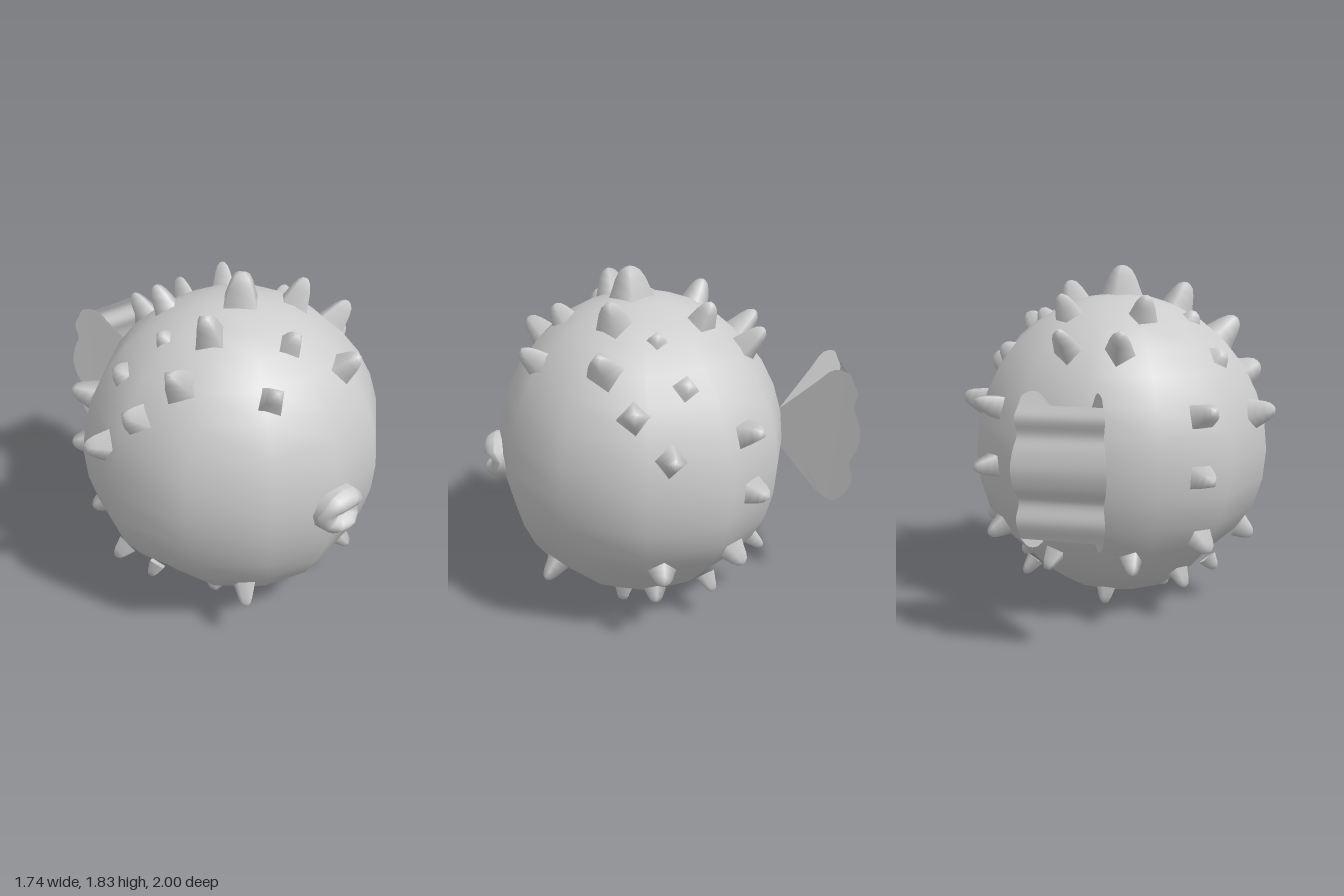
import * as THREE from 'three';
import { mergeVertices } from 'three/addons/utils/BufferGeometryUtils.js';

export function createModel() {
  const model = new THREE.Group();
  const skin = new THREE.MeshStandardMaterial({ color: 0xcccccc });
  skin.name = 'paleGreySkin';
  skin.side = THREE.DoubleSide;

  const add = (name, geometry, parent = model) => {
    const mesh = new THREE.Mesh(geometry, skin);
    mesh.name = name;
    parent.add(mesh);
    return mesh;
  };

  // Inflated round body: flat flanks, lower sides pinched, chin a little fuller
  const centre = new THREE.Vector3(0, 0.86, 0.147);
  const radii = new THREE.Vector3(0.815, 0.825, 0.77);
  const bodyGeometry = new THREE.SphereGeometry(1, 12, 16);
  const b = bodyGeometry.attributes.position;
  for (let i = 0; i < b.count; i++) {
    const x = b.getX(i), y = b.getY(i), z = b.getZ(i);
    const r = Math.hypot(x, z);
    const fromZ = Math.atan2(Math.abs(x), Math.abs(z));
    const angle = fromZ - 0.06 * Math.sin(2 * fromZ);
    const low = Math.exp(-(((y + 0.72) / 0.17) ** 2));
    b.setX(i, Math.sign(x) * r * Math.sin(angle) * (1 - 0.12 * low));
    b.setZ(i, Math.sign(z) * r * Math.cos(angle) * (z > 0 ? 1 + 0.05 * low : 1));
  }
  bodyGeometry.deleteAttribute('uv');
  bodyGeometry.deleteAttribute('normal');
  const smoothBody = mergeVertices(bodyGeometry, 1e-3);
  smoothBody.computeVertexNormals();
  const body = add('body', smoothBody);
  body.scale.copy(radii);
  body.position.copy(centre);

  // Blunt four-sided spines, each given by its tip, base radius and base depth
  const profile = [[1, 0], [0.82, 0.3], [0.62, 0.65], [0.42, 0.87], [0.2, 0.97], [0, 1]]
    .map(([r, h]) => new THREE.Vector2(r, h));
  const spineGeometry = new THREE.LatheGeometry(profile, 4);
  const spines = new THREE.Group();
  spines.name = 'spines';
  model.add(spines);

  const addSpine = (x, y, z, radius) => {
    const tip = new THREE.Vector3(x, y, z);
    const local = tip.clone().sub(centre).divide(radii);
    const depth = y < 0.5 ? 0.98 : 0.96;
    const base = local.clone().normalize().multiply(radii).multiplyScalar(depth).add(centre);
    const axis = tip.clone().sub(base);
    const spine = add('spine', spineGeometry, spines);
    spine.position.copy(base);
    spine.scale.set(radius, axis.length(), radius);
    spine.quaternion.setFromUnitVectors(new THREE.Vector3(0, 1, 0), axis.normalize());
  };

  // Spines on the centre line
  addSpine(0, 1.835, 0.2, 0.125);
  addSpine(0, 1.64, 0.59, 0.08);
  addSpine(0, 0.03, -0.19, 0.055);
  const pairedSpines = [
    // upper half
    [0.28, 1.49, 0.75, 0.085], [0.34, 1.74, 0.31, 0.1], [0.61, 1.55, 0.37, 0.1],
    [0.76, 1.32, 0.21, 0.09], [0.87, 1.11, 0.02, 0.085], [0.61, 1.41, -0.06, 0.075],
    [0.43, 1.6, 0.08, 0.065], [0.23, 1.7, -0.2, 0.085], [0.16, 1.54, -0.48, 0.085],
    [0.63, 1.16, -0.42, 0.085], [0.63, 0.81, -0.46, 0.08],
    // lower half
    [0.76, 0.4, 0.07, 0.075], [0.6, 0.42, -0.35, 0.075], [0.23, 0.31, -0.5, 0.065],
    [0.39, 0.24, 0.68, 0.065], [0.56, 0.18, 0.1, 0.06], [0.45, 0.17, -0.21, 0.055],
    [0.24, 0.005, 0.27, 0.07],
  ];
  for (const [x, y, z, r] of pairedSpines)
    for (const side of [-1, 1]) addSpine(side * x, y, z, r);

  // Mouth: a puffy disc parted by an arched groove into two lips
  const mouthBall = new THREE.SphereGeometry(1, 12, 28).rotateX(Math.PI / 2);
  const m = mouthBall.attributes.position;
  for (let i = 0; i < m.count; i++) {
    const x = m.getX(i), y = m.getY(i), r = Math.hypot(x, y);
    const puff = 1 - 0.6 * r ** 5;
    const groove = 0.5 * Math.exp(-(((y + 0.07 + 0.12 * x * x) / 0.26) ** 2));
    if (m.getZ(i) > 0.05) m.setZ(i, Math.max(0.1, puff - groove));
  }
  mouthBall.deleteAttribute('uv');
  mouthBall.deleteAttribute('normal');
  const mouthGeometry = mergeVertices(mouthBall, 1e-3);
  mouthGeometry.computeVertexNormals();
  const mouth = add('mouth', mouthGeometry);
  mouth.position.set(0, 0.807, 0.89);
  mouth.scale.set(0.143, 0.125, 0.112);

  // Tail: two fan sheets spreading from the root, joined by a wavy rear wall
  const flare = (z) => Math.max(0, -0.61 - z) * 0.59;
  const curve = (pts) => new THREE.CatmullRomCurve3(pts.map(([z, y]) => new THREE.Vector3(z, y, 0)));
  const rearPoints = [[-0.95, 1.25], [-0.975, 1.19], [-0.962, 1.11], [-0.985, 1.04], [-1, 0.95],
    [-0.985, 0.86], [-0.958, 0.79], [-0.975, 0.7], [-0.95, 0.61]];
  const rear = curve(rearPoints).getPoints(32);
  const outline = [
    new THREE.Vector2(-0.6, 1.03),
    ...curve([[-0.78, 1.22], [-0.86, 1.3], [-0.93, 1.29], [-0.95, 1.25]]).getPoints(9),
    ...rear.slice(1, -1),
    ...curve([[-0.95, 0.61], [-0.91, 0.56], [-0.86, 0.55], [-0.79, 0.6]]).getPoints(9),
    new THREE.Vector2(-0.6, 0.83),
  ].map((p) => new THREE.Vector2(p.x, p.y));

  const tail = new THREE.Group();
  tail.name = 'tailFin';
  model.add(tail);
  for (const side of [-1, 1]) {
    const sheet = new THREE.ShapeGeometry(new THREE.Shape(outline));
    const p = sheet.attributes.position;
    for (let i = 0; i < p.count; i++) {
      const z = p.getX(i);
      p.setXYZ(i, side * flare(z), p.getY(i), z);
    }
    // Mirror the winding so each sheet faces outwards
    if (side < 0) sheet.setIndex(Array.from(sheet.index.array).reverse());
    sheet.computeVertexNormals();
    add(side > 0 ? 'leftTailSheet' : 'rightTailSheet', sheet, tail);
  }

  const wall = new THREE.PlaneGeometry(1, 1, 1, rear.length - 1);
  const w = wall.attributes.position;
  rear.forEach((p, i) => {
    w.setXYZ(2 * i, flare(p.x), p.y, p.x);
    w.setXYZ(2 * i + 1, -flare(p.x), p.y, p.x);
  });
  wall.computeVertexNormals();
  add('rearTailWall', wall, tail);

  return model;
}
